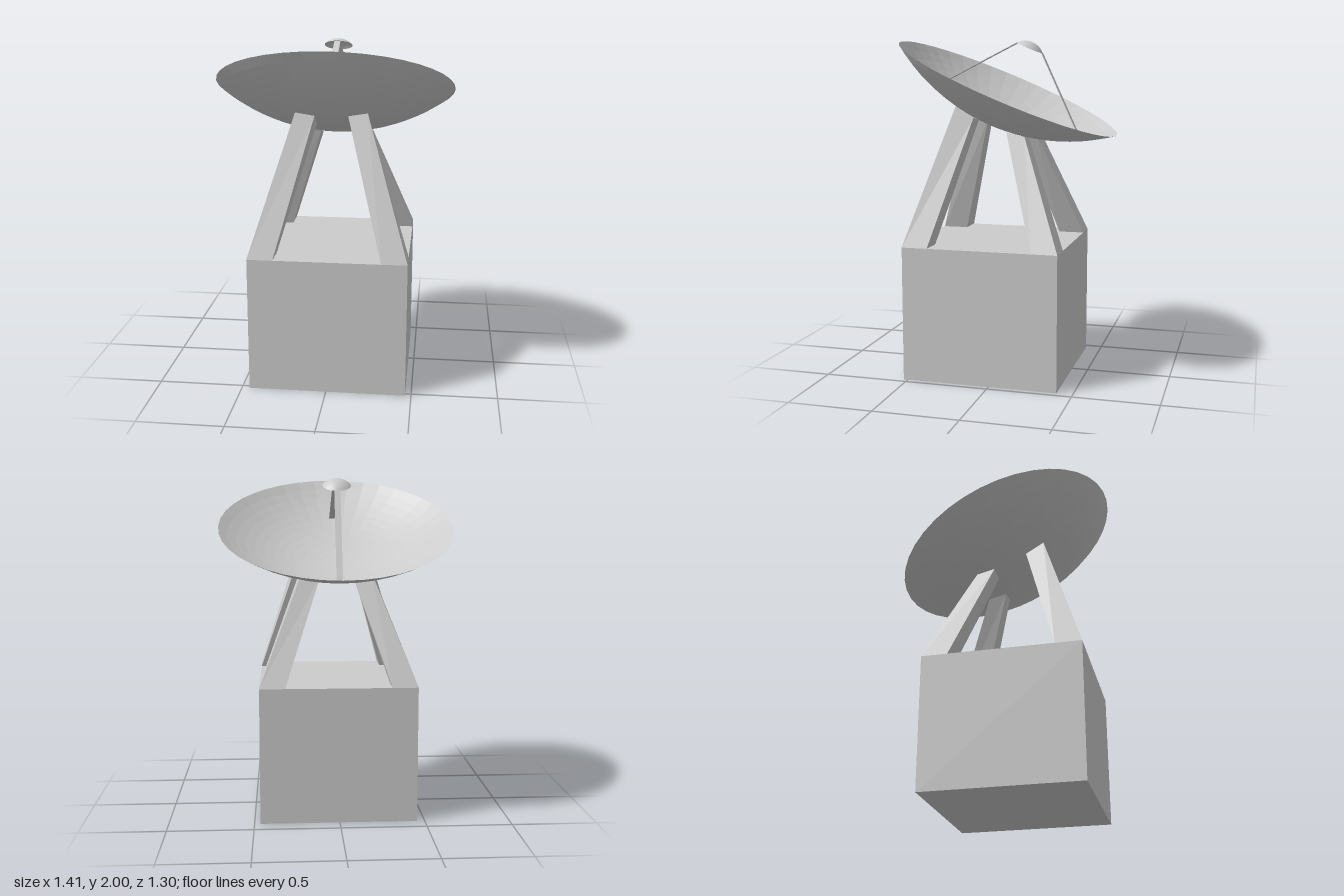
import * as THREE from 'three';

const DISH_RADIUS = 0.707, DISH_DEPTH = 0.24, TILT = -0.407;
const CURVE = (DISH_RADIUS ** 2 + DISH_DEPTH ** 2) / (2 * DISH_DEPTH);

export function createModel() {
  const model = new THREE.Group();
  const solid = new THREE.MeshStandardMaterial({ color: 0xcccccc, flatShading: true });
  const thinFlat = new THREE.MeshStandardMaterial({ color: 0xcccccc, flatShading: true, side: THREE.DoubleSide });
  const thinSmooth = new THREE.MeshStandardMaterial({ color: 0xcccccc, side: THREE.DoubleSide });

  const add = (name, geometry, material, x = 0, y = 0, z = 0) => {
    const mesh = new THREE.Mesh(geometry, material);
    mesh.name = name;
    mesh.position.set(x, y, z);
    model.add(mesh);
    return mesh;
  };

  // Base block
  add('base', new THREE.BoxGeometry(0.92, 0.8, 0.93), solid, 0.005, 0.4, 0.06);

  // Height of the underside of the tilted spherical dish at (x, z)
  const offset = CURVE - DISH_DEPTH;
  const sphereY = 1.72 + offset * Math.cos(TILT), sphereZ = offset * Math.sin(TILT);
  const dishY = (x, z) => sphereY - Math.sqrt(CURVE ** 2 - x * x - (z - sphereZ) ** 2);

  // Four leaning, tapered legs, cut off where they meet the dish
  const addLeg = (name, side, bottomZ, topZ) => {
    const geometry = new THREE.BoxGeometry(2, 2, 2);
    const p = geometry.attributes.position;
    for (let i = 0; i < p.count; i++) {
      const cx = p.getX(i), cz = p.getZ(i);
      if (p.getY(i) > 0) {
        const x = 0.005 + side * 0.153 + cx * 0.056, z = topZ + cz * 0.055;
        p.setXYZ(i, x, dishY(x, z) - 0.004, z);
      } else {
        p.setXYZ(i, 0.005 + side * 0.385 + cx * 0.075, 0.8, bottomZ + cz * 0.0775);
      }
    }
    geometry.computeVertexNormals();
    add(name, geometry, solid);
  };
  for (const side of [-1, 1]) {
    const label = side > 0 ? 'Left' : 'Right';
    addLeg('front' + label + 'Leg', side, 0.4475, 0.215);
    addLeg('back' + label + 'Leg', side, -0.3275, -0.095);
  }

  // Shallow spherical dish
  const maxAngle = Math.asin(DISH_RADIUS / CURVE);
  const profile = [];
  for (let i = 0; i <= 12; i++) {
    const a = (maxAngle * i) / 12;
    profile.push(new THREE.Vector2(CURVE * Math.sin(a), offset - CURVE * Math.cos(a)));
  }
  add('dish', new THREE.LatheGeometry(profile, 40), thinFlat, 0, 1.72, 0).rotation.x = TILT;

  // Small domed cap over the dish
  const capRadius = 0.084, capHeight = 0.036;
  const capCurve = (capRadius ** 2 + capHeight ** 2) / (2 * capHeight);
  const capAngle = Math.asin(capRadius / capCurve);
  const capProfile = [];
  for (let i = 0; i <= 6; i++) {
    const a = capAngle * (1 - i / 6);
    capProfile.push(new THREE.Vector2(capCurve * Math.sin(a), capCurve * Math.cos(a) - capCurve + capHeight));
  }
  add('feedCap', new THREE.LatheGeometry(capProfile, 28), thinSmooth, 0.003, 1.956, -0.128).rotation.x = TILT;

  // Two flat strips holding the cap
  const addStrut = (name, y0, z0, y1, z1) => {
    const strut = add(name, new THREE.BoxGeometry(0.036, 0.004, Math.hypot(y1 - y0, z1 - z0)),
      solid, 0.004, (y0 + y1) / 2, (z0 + z1) / 2);
    strut.rotation.x = -Math.atan2(y1 - y0, z1 - z0);
  };
  addStrut('frontStrut', 1.755, 0.41, 1.985, -0.05);
  addStrut('backStrut', 1.415, -0.44, 1.925, -0.203);

  return model;
}
